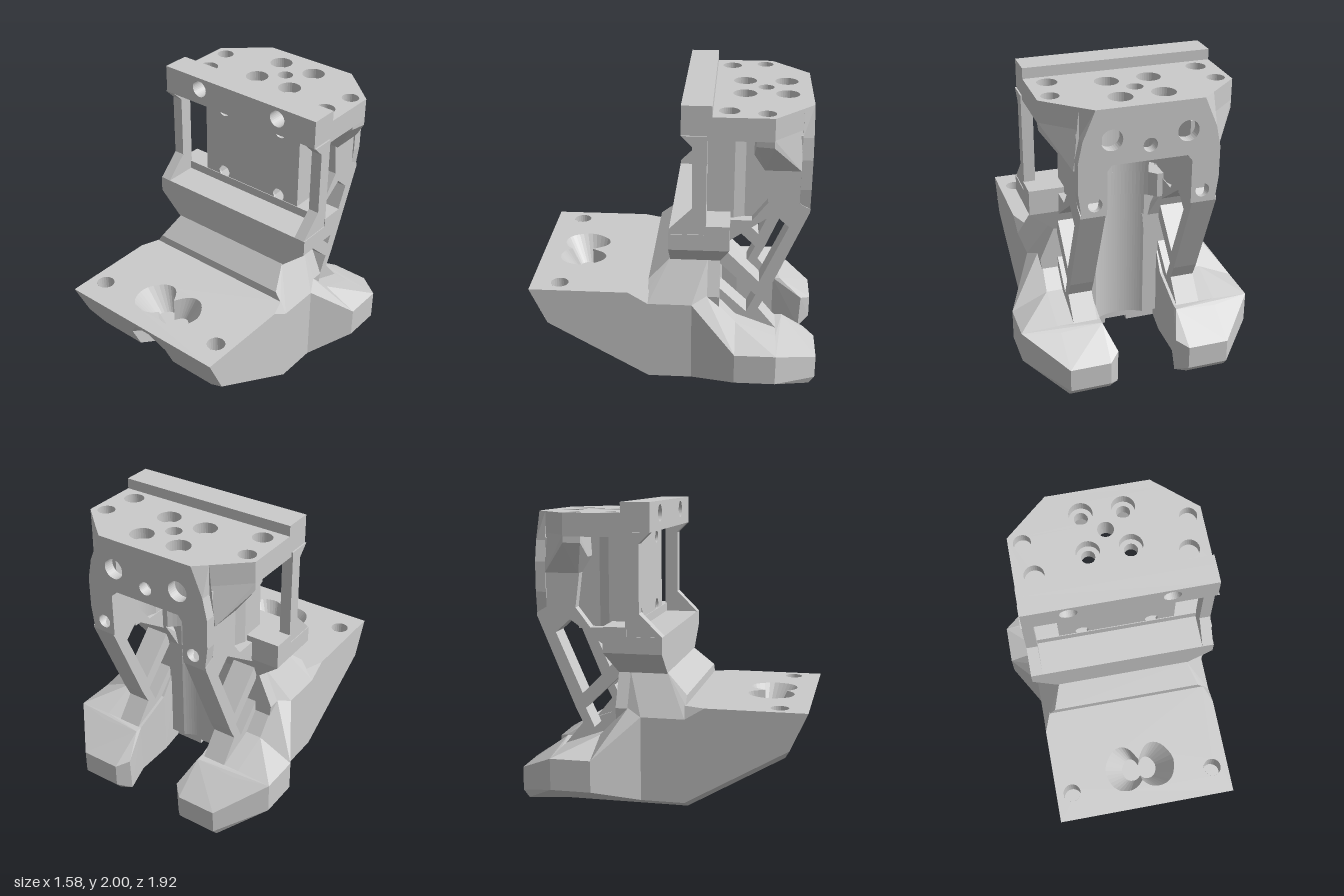
import * as THREE from 'three';
import { ConvexGeometry } from 'three/addons/geometries/ConvexGeometry.js';

const solid = new THREE.MeshStandardMaterial({ color: 0xcccccc, flatShading: true });
const shell = new THREE.MeshStandardMaterial({ color: 0xcccccc, flatShading: true, side: THREE.DoubleSide });
const AXIS_Z = -0.57, BORE = 0.32;

export function createModel() {
  const root = new THREE.Group();
  root.name = 'bracket';

  const add = (name, geo, mat = solid) => {
    const m = new THREE.Mesh(geo, mat);
    m.name = name;
    root.add(m);
    return m;
  };
  const flip = (pts) => pts.map(([x, ...rest]) => [-x, ...rest]);
  const sym = (pts) => [...pts, ...flip(pts)];
  const loop = (half) => [...half, ...flip(half).reverse()];
  const hull = (name, pts) => add(name, new ConvexGeometry(pts.map((p) => new THREE.Vector3(...p))));
  const hullPair = (name, pts) => { hull(name + 'Left', pts); hull(name + 'Right', flip(pts)); };

  // Flat shape with round ([x, y, r]) or polygonal holes
  const shape = (pts, circles = [], polys = []) => {
    const s = new THREE.Shape(pts.map((p) => new THREE.Vector2(...p)));
    circles.forEach(([x, y, r]) => s.holes.push(new THREE.Path().absarc(x, y, r, 0, Math.PI * 2, true)));
    polys.forEach((h) => s.holes.push(new THREE.Path(h.map((p) => new THREE.Vector2(...p)))));
    return s;
  };
  const extrude = (s, depth) => new THREE.ExtrudeGeometry(s, { depth, bevelEnabled: false, curveSegments: 16 });
  // Shape in (z, y), spanning x0..x1
  const alongX = (name, s, x0, x1) => add(name, extrude(s, x1 - x0).rotateY(-Math.PI / 2).translate(x1, 0, 0));
  const alongXPair = (name, s, x0, x1) => { alongX(name + 'Left', s, x0, x1); alongX(name + 'Right', s, -x1, -x0); };
  // Shape in (x, z), spanning y0..y1
  const alongY = (name, s, y0, y1) => add(name, extrude(s, y1 - y0).rotateX(Math.PI / 2).translate(0, y1, 0));
  // Shape in (x, y), spanning z0..z1
  const alongZ = (name, s, z0, z1) => add(name, extrude(s, z1 - z0).translate(0, 0, z0));

  // Flat polygon in space
  const face = (name, pts) => {
    const v = pts.map((p) => new THREE.Vector3(...p));
    const n = new THREE.Vector3();
    v.forEach((p, i) => n.add(p.clone().cross(v[(i + 1) % v.length])));
    n.normalize();
    const u = v[1].clone().sub(v[0]).normalize(), w = n.clone().cross(u);
    const tris = THREE.ShapeUtils.triangulateShape(v.map((p) => new THREE.Vector2(p.dot(u), p.dot(w))), []);
    const geo = new THREE.BufferGeometry().setFromPoints(tris.flat().map((i) => v[i]));
    geo.computeVertexNormals();
    return add(name, geo, shell);
  };
  const facePair = (name, pts) => { face(name + 'Left', pts); face(name + 'Right', flip(pts)); };

  // ---- Front of the foot, with a double bowl and two blind holes ----
  const lobe = new THREE.SplineCurve([[0, 0.62], [0.05, 0.54], [0.11, 0.51], [0.18, 0.54], [0.24, 0.64],
    [0.23, 0.74], [0.18, 0.81], [0.1, 0.83], [0.04, 0.81], [0, 0.77]].map((p) => new THREE.Vector2(...p)));
  const half = lobe.getPoints(28).map((p) => [p.x, p.y]);
  const bowl = [...half, ...flip(half.slice(1, -1)).reverse()];
  const footHoles = sym([[0.5, 0.77, 0.06]]);
  const footTop = new THREE.ShapeGeometry(
    shape(loop([[0.56, 0.16], [0.61, 0.3], [0.61, 0.96]]), footHoles, [bowl]), 24);
  add('footTop', footTop.rotateX(Math.PI / 2).translate(0, 0.7, 0), shell);
  footHoles.forEach(([x, z, r]) => add('footHole', new THREE.LatheGeometry(
    [[0, 0.55], [r, 0.55], [r, 0.7]].map((p) => new THREE.Vector2(...p)), 24).translate(x, 0, z), shell));
  const low = bowl.map(([x, z]) => [x * 0.5, 0.53, 0.62 + (z - 0.62) * 0.5]);
  bowl.forEach(([x, z], i) => {
    const j = (i + 1) % bowl.length;
    face('bowlWall', [[x, 0.7, z], [bowl[j][0], 0.7, bowl[j][1]], low[j], low[i]]);
  });
  face('bowlFloor', low);

  const frontAt = (x, y) => [x, y, 0.96 - ((0.7 - y) / 0.33) * 0.15];
  const underAt = (x, y) => [x, y, 0.17 + (y / 0.37) * 0.64];
  face('footFront', loop([frontAt(0.06, 0.65), frontAt(0.15, 0.52), frontAt(0.15, 0.37),
    frontAt(0.49, 0.37), frontAt(0.61, 0.45), frontAt(0.61, 0.7)]));
  face('footUnderside', loop([underAt(0.15, 0.1), underAt(0.15, 0.37), underAt(0.49, 0.37), underAt(0.49, 0.035)]));
  facePair('footChamfer', [[0.61, 0.45, 0.846], [0.49, 0.37, 0.81], [0.49, 0, 0.17], [0.61, 0.06, 0.17]]);
  facePair('footSide', [[0.61, 0.7, 0.96], [0.61, 0.45, 0.846], [0.61, 0.06, 0.17], [0.61, 0.62, 0.17], [0.61, 0.7, 0.3]]);
  facePair('footCorner', [[0.61, 0.7, 0.3], [0.61, 0.62, 0.17], [0.56, 0.7, 0.16]]);

  // Channel sunk into the front
  const deep = 0.36;
  face('channelRoof', [frontAt(0.06, 0.65), frontAt(-0.06, 0.65), [-0.06, 0.32, deep], [0.06, 0.32, deep]]);
  facePair('channelSlope', [frontAt(0.06, 0.65), frontAt(0.15, 0.52), [0.15, 0.22, deep], [0.06, 0.32, deep]]);
  facePair('channelSide', [frontAt(0.15, 0.52), frontAt(0.15, 0.37), underAt(0.15, 0.1), [0.15, 0.22, deep]]);
  face('channelEnd', loop([[0.06, 0.32, deep], [0.15, 0.22, deep], underAt(0.15, 0.1)]));

  // ---- Lower body and waist ----
  hull('lowerBody', sym([[0.46, 0.89, 0.03], [0.52, 0.76, 0.17], [0.56, 0.7, 0.17], [0.61, 0.62, 0.17],
    [0.61, 0.06, 0.17], [0.49, 0.035, 0.17], [0.46, 0.89, -0.22], [0.61, 0.62, -0.12], [0.61, 0.06, -0.12],
    [0.56, 0.66, -0.22], [0.49, 0.035, -0.22], [0.55, 0.06, -0.22]]));
  hullPair('bodyRear', [-0.21, -0.3].flatMap((z) => [[0.16, 0.89, z], [0.46, 0.89, z], [0.56, 0.66, z], [0.5, 0.1, z], [0.24, 0.1, z]]));
  hull('waist', sym([0.03, -0.22].flatMap((z) => [[0.46, 0.88, z], [0.635, 1.04, z]])));
  hullPair('waistRear', [[0.16, 0.88, -0.21], [0.46, 0.88, -0.21], [0.635, 1.04, -0.21], [0.24, 1.04, -0.21],
    [0.2, 0.88, -0.3], [0.46, 0.88, -0.3], [0.635, 1.04, -0.36], [0.26, 1.04, -0.36]]);
  alongX('middleBlock', shape([[0.03, 1.04], [0.03, 1.15], [-0.2, 1.15], [-0.2, 1.21], [-0.22, 1.21], [-0.22, 1.04]]), -0.635, 0.635);
  hullPair('pad', [[0.61, 0.06, 0.17], [0.61, 0.06, -0.12],
    ...[0.08, 0.49].flatMap((x) => [[x, 0, 0.17], [x, 0.035, 0.23], [x, 0, -0.22], [x, 0.035, -0.22]])]);

  // Back of the body, hollowed by the upright bore
  const boreLine = (x0, x1, n = 20) => Array.from({ length: n + 1 }, (_, i) => {
    const x = x0 + ((x1 - x0) * i) / n;
    return [x, AXIS_Z + Math.sqrt(Math.max(0, BORE * BORE - x * x))];
  });
  const hollow = (w, zBack, y0, y1) => {
    const x = Math.sqrt(BORE * BORE - (zBack - AXIS_Z) ** 2);
    alongY('hollowBack', shape([[-w, -0.21], [w, -0.21], [w, zBack], ...boreLine(x, -x), [-w, zBack]]), y0, y1);
  };
  hollow(0.635, -0.36, 1.04, 1.21);
  hollow(0.3, -0.3, 0.1, 1.04);

  // ---- Toes ----
  const ring = (z, yTop) => [[0.26, 0, z], [0.49, 0, z], [0.79, 0.15, z], [0.79, 0.36, z], [0.55, yTop, z], [0.26, yTop, z]];
  hullPair('toeFlare', [[0.3, 0, -0.12], [0.49, 0, -0.12], [0.61, 0.06, -0.12], [0.61, 0.62, -0.12],
    [0.54, 0.69, -0.2], [0.28, 0.69, -0.2], ...ring(-0.41, 0.47)]);
  hullPair('toe', [...ring(-0.41, 0.47), [0.55, 0.41, -0.48], [0.26, 0.41, -0.48], ...ring(-0.68, 0.37)]);
  hullPair('toeTip', [...ring(-0.68, 0.37), [0.26, 0.37, -0.73], [0.54, 0.35, -0.73],
    ...[0.27, 0.54].flatMap((x) => [[x, 0.21, -0.96], [x, 0.05, -0.96], [x, 0, -0.92]]),
    [0.2, 0, -0.88], [0.2, 0.24, -0.89]]);

  // ---- Side frames with open trusses ----
  alongXPair('sideFrame', shape([[-0.8, 1.76], [-0.8, 1.3], [-0.87, 1.26], [-0.87, 1.24], [-0.61, 0.62], [-0.56, 0.52],
    [-0.69, 0.36], [-0.3, 0.36], [-0.2, 0.6], [-0.2, 1.17], [-0.5, 1.17], [-0.6, 1.3], [-0.57, 1.53], [-0.51, 1.76]], [], [
    [[-0.3, 0.98], [-0.64, 1.22], [-0.74, 1.13], [-0.56, 0.72]],
    [[-0.3, 0.85], [-0.54, 0.62], [-0.48, 0.49], [-0.3, 0.66]],
  ]), 0.28, 0.44);
  hullPair('shoulder', [1.79, 1.74].flatMap((y) => [[0.33, y, -0.51], [0.6, y, -0.51], [0.62, y, -0.62], [0.42, y, -0.8], [0.33, y, -0.8]])
    .concat([[0.33, 1.64, -0.5], [0.47, 1.64, -0.5], [0.33, 1.53, -0.57], [0.46, 1.53, -0.57], [0.46, 1.53, -0.8], [0.33, 1.53, -0.8]]));

  // ---- Upright panel with four through holes ----
  const screws = [1.24, 1.73], c = 0.24, h = 0.045;
  alongZ('panelFace', shape([[-0.4, 1.15], [0.4, 1.15], [0.4, 1.79], [-0.4, 1.79]],
    screws.flatMap((y) => sym([[c, y, h]]))), -0.22, -0.205);
  const middle = (x0, x1, y0, y1) =>
    alongY('panelMiddle', shape([[x0, -0.215], [x1, -0.215], ...boreLine(x1, x0)]), y0, y1);
  const edge = [[c + h, -0.215], [0.4, -0.215], [0.4, -0.38], [0.37, -0.45], [0.37, -0.6], [BORE, -0.6], ...boreLine(BORE, c + h)];
  alongY('panelEdgeLeft', shape(edge), 1.15, 1.79);
  alongY('panelEdgeRight', shape(flip(edge)), 1.15, 1.79);
  middle(-c + h, c - h, 1.2, 1.79);
  [-c, c].forEach((x) => middle(x - h, x + h, screws[0] + h, screws[1] - h));

  // ---- Front pillars, lip and top plate ----
  alongXPair('pillar', shape([[0.03, 1.15], [-0.12, 1.3], [-0.12, 1.74], [-0.05, 1.81], [-0.21, 1.81], [-0.21, 1.15]]), 0.555, 0.63);
  const lip = [[-0.62, 1.81], [0.62, 1.81], [0.62, 2], [-0.62, 2]];
  alongZ('lipFront', shape(lip, sym([[0.325, 1.92, 0.057]])), -0.18, -0.05);
  alongZ('lipBack', shape(lip), -0.24, -0.18);

  const plate = loop([[0.42, -0.8], [0.62, -0.62], [0.62, -0.21]]);
  const four = (r) => [-1, 1].flatMap((a) => [-1, 1].map((b) => [a * 0.137, AXIS_Z + b * 0.137, r]));
  const blind = sym([[0.53, -0.57, 0.057], [0.49, -0.34, 0.065]]);
  const centre = [0, AXIS_Z, 0.053];
  alongY('topPlate', shape(plate, [...four(0.077), ...blind, centre]), 1.86, 1.93);
  alongY('topPlateUnder', shape(plate, [...four(0.045), centre]), 1.78, 1.86);

  // ---- Rear frame: bridge and two legs, chamfered at the upper corners ----
  const rear = alongZ('rearFrame', shape(
    loop([[0.24, 1.57], [0.27, 1.53], [0.27, 1.24], [0.43, 1.24], [0.45, 1.4], [0.45, 1.6], [0.42, 1.74], [0.34, 1.93]]),
    sym([[c, 1.73, 0.068], [0.345, 1.32, 0.045]]).concat([[0, 1.67, 0.045]])), -0.87, -0.8);
  const p = rear.geometry.attributes.position;
  for (let i = 0; i < p.count; i++) {
    if (p.getZ(i) > -0.81 && p.getY(i) > 1.9) p.setX(i, p.getX(i) + Math.sign(p.getX(i)) * 0.08);
  }
  rear.geometry.computeVertexNormals();
  return root;
}
